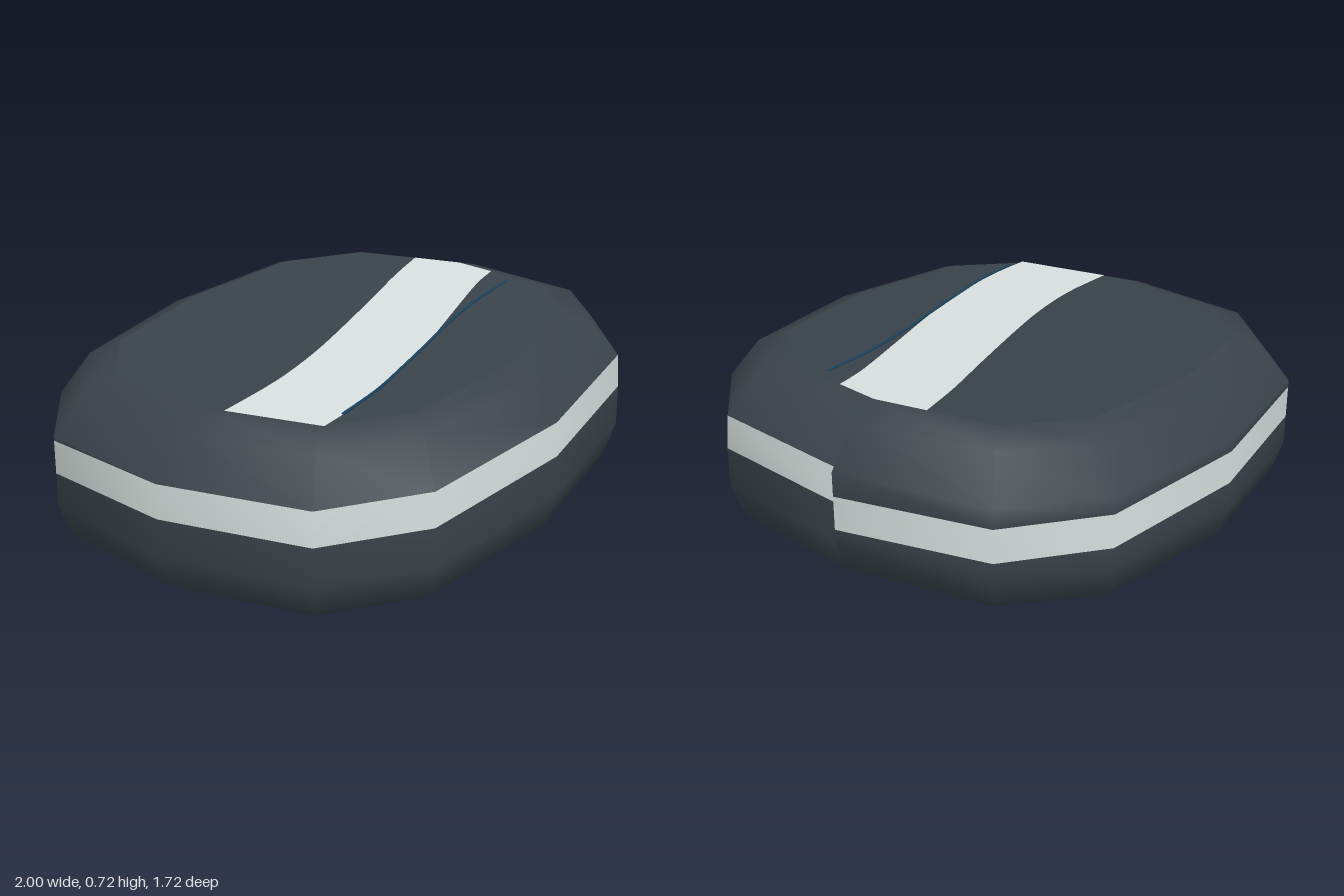
import * as THREE from 'three';

const SIDES = 12;
const LIFT = 0.357; // height of the middle
const SLOPE = 0.073; // the body leans up towards +x

const mat = (name, color) => Object.assign(new THREE.MeshStandardMaterial({ color }), { name });

// Rounded-square outline with twelve corners
const soft = (v) => (Math.abs(v) < 1e-6 ? 0 : Math.sign(v) * Math.abs(v) ** 0.7);
const outline = (i) => {
  const t = (i / SIDES) * Math.PI * 2;
  return [soft(Math.cos(t)), 0.86 * soft(Math.sin(t))];
};

// Bake the lean into a geometry
const lean = (geo) => geo.applyMatrix4(new THREE.Matrix4().set(
  1, 0, 0, 0,
  SLOPE, 1, 0, LIFT,
  0, 0, 1, 0,
  0, 0, 0, 1));

// Middle height of the band: level along the front, sinking along the back
const bandMiddle = (i) => (i <= 6 ? 0.081 - 0.012 * (i / 6) : 0.069 - 0.088 * ((i - 6) / 6));

function sideGeometry() {
  const positions = [], index = [];
  const rows = 8;
  for (let i = 0; i <= SIDES; i++) {
    const [x, z] = outline(i);
    const lo = bandMiddle(i) - 0.059, hi = bandMiddle(i) + 0.059;
    const wall = (y) => (y > 0.125 ? 1 - (y - 0.125) * 0.79 : 1);
    const shoulder = Math.max(0.125, hi);
    const profile = [[0.79, -0.298], [0.96, -0.238], [1, -0.125], [1, lo],
      [wall(hi), hi], [wall(shoulder), shoulder], [0.89, 0.264], [0.785, 0.3]];
    for (const [r, y] of profile) positions.push(x * r, y, z * r);
  }
  const geo = new THREE.BufferGeometry();
  for (let j = 0; j < rows - 1; j++) {
    geo.addGroup(index.length, SIDES * 6, j === 3 ? 1 : 0);
    for (let i = 0; i < SIDES; i++) {
      const a = i * rows + j, b = a + rows;
      index.push(a, a + 1, b + 1, a, b + 1, b);
    }
  }
  geo.setAttribute('position', new THREE.Float32BufferAttribute(positions, 3));
  geo.setIndex(index);
  geo.computeVertexNormals();
  // Keep the shading smooth across the seam
  const n = geo.attributes.normal;
  for (let j = 0; j < rows; j++) {
    for (const k of [j, SIDES * rows + j]) {
      const len = Math.hypot(n.getX(k), n.getY(k)) || 1;
      n.setXYZ(k, n.getX(k) / len, n.getY(k) / len, 0);
    }
  }
  return lean(geo);
}

// Flat face from [x, z] points, looking up or down
function flatFace(points, y, up) {
  const shape = new THREE.Shape(points.map(([x, z]) => new THREE.Vector2(x, up ? -z : z)));
  const geo = new THREE.ShapeGeometry(shape);
  geo.rotateX(up ? -Math.PI / 2 : Math.PI / 2);
  geo.translate(0, y, 0);
  return lean(geo);
}

const smooth = (points, n) => new THREE.SplineCurve(points.map(([x, z]) => new THREE.Vector2(x, z)))
  .getPoints(n).map((p) => [p.x, p.y]);

export function createModel() {
  const group = new THREE.Group();
  const dark = mat('dark slate', 0x3a424a);
  const light = mat('pale grey', 0xd8dfde);
  const blue = mat('deep blue', 0x1a4560);
  const add = (name, geo, material) => {
    const mesh = new THREE.Mesh(geo, material);
    mesh.name = name;
    group.add(mesh);
  };

  // Rounded side with the band around it
  add('sideAndBand', sideGeometry(), [dark, light]);

  // Flat top and bottom
  const ring = (s) => Array.from({ length: SIDES }, (_, i) => outline(i).map((v) => v * s));
  add('topFace', flatFace(ring(0.785), 0.3, true), dark);
  add('bottomFace', flatFace(ring(0.79), -0.298, false), dark);

  // Curved stripe across both flat faces
  const backEdge = smooth([[-0.768, 0.09], [-0.5, 0.088], [-0.25, 0.055], [0, 0], [0.3, -0.075], [0.55, -0.14], [0.752, -0.182]], 24);
  const frontEdge = smooth([[0.754, 0.16], [0.6, 0.185], [0.3, 0.265], [0, 0.345], [-0.3, 0.405], [-0.5, 0.428], [-0.705, 0.43]], 24);
  const stripe = [...backEdge, [0.783, 0], ...frontEdge];
  add('topStripe', flatFace(stripe, 0.302, true), light);
  add('bottomStripe', flatFace(stripe, -0.3, false), light);

  // Thin raised line along the front edge of the top stripe
  const line = new THREE.CatmullRomCurve3(
    [[-0.62, 0.434], [-0.4, 0.42], [-0.2, 0.386], [0, 0.348], [0.2, 0.308], [0.45, 0.273], [0.69, 0.264]]
      .map(([x, z]) => new THREE.Vector3(x, 0.307 - 0.004 * (x + 0.62), z)));
  add('accentLine', lean(new THREE.TubeGeometry(line, 32, 0.005, 6)), blue);

  return group;
}
